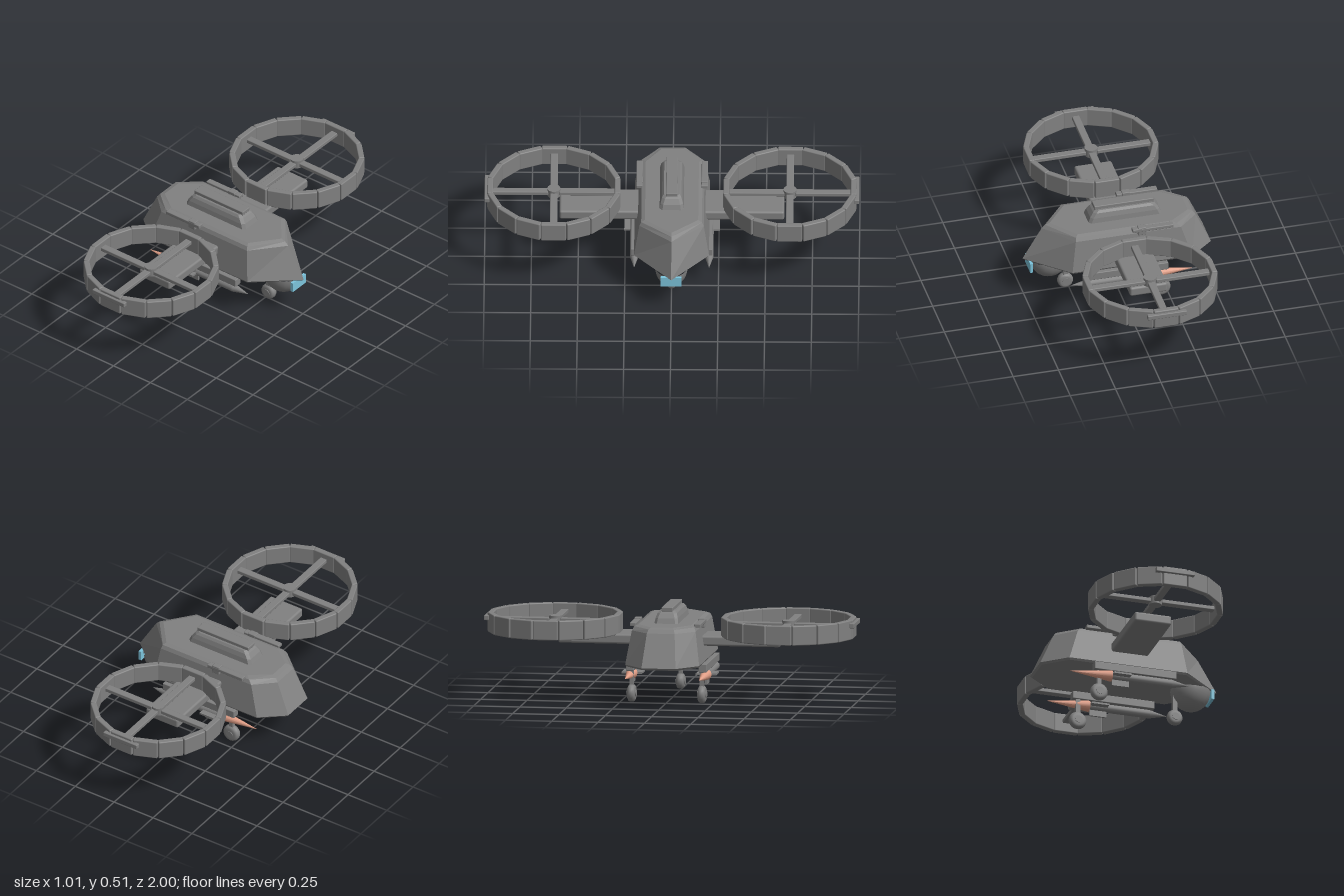
import * as THREE from 'three';
import { RoundedBoxGeometry } from 'three/addons/geometries/RoundedBoxGeometry.js';

const paint = (name, color) => {
  const m = new THREE.MeshStandardMaterial({ color });
  m.name = name;
  return m;
};

export function createModel() {
  const hullGrey = paint('hull grey', 0x808080);
  const salmon = paint('salmon', 0xe3a088);
  const glassBlue = paint('glass blue', 0x7cc4dc);
  const model = new THREE.Group();
  model.name = 'twinRotorCraft';

  const add = (parent, name, geometry, material, x = 0, y = 0, z = 0) => {
    const mesh = new THREE.Mesh(geometry, material);
    mesh.name = name;
    mesh.position.set(x, y, z);
    parent.add(mesh);
    return mesh;
  };
  const rbox = (w, h, d, r = 0.005) => new RoundedBoxGeometry(w, h, d, 2, r);

  // Box given by its limits on x and y, with centre and depth on z
  const slab = (parent, name, x0, x1, y0, y1, z, depth, r) =>
    add(parent, name, rbox(x1 - x0, y1 - y0, depth, r), hullGrey, (x0 + x1) / 2, (y0 + y1) / 2, z);

  // Closed faceted solid through stacked outlines: [y, [[x, z], ...]]
  const loft = (levels) => {
    const pos = [];
    const at = (l, i) => {
      const [y, pts] = levels[l];
      const p = pts[i % pts.length];
      return [p[0], y, p[1]];
    };
    const n = levels[0][1].length;
    const last = levels.length - 1;
    for (let i = 0; i < n; i++) {
      for (let l = 0; l < last; l++) {
        pos.push(...at(l, i), ...at(l + 1, i), ...at(l, i + 1));
        pos.push(...at(l + 1, i), ...at(l + 1, i + 1), ...at(l, i + 1));
      }
      pos.push(0, levels[last][0], 0, ...at(last, i + 1), ...at(last, i));
      pos.push(0, levels[0][0], 0, ...at(0, i), ...at(0, i + 1));
    }
    const g = new THREE.BufferGeometry();
    g.setAttribute('position', new THREE.Float32BufferAttribute(pos, 3));
    g.computeVertexNormals();
    return g;
  };

  // Hull: blunt tail, parallel flanks, pointed nose
  const hullRing = (tail, tailW, rear, front, w, nose) => [
    [nose, 0], [front, w], [rear, w], [tail, tailW],
    [tail, -tailW], [rear, -w], [front, -w],
  ];
  add(model, 'hull', loft([
    [0.217, hullRing(-0.5, 0.088, -0.375, 0.275, 0.193, 0.49)],
    [0.228, hullRing(-0.51, 0.092, -0.38, 0.28, 0.2, 0.505)],
    [0.405, hullRing(-0.43, 0.075, -0.325, 0.255, 0.172, 0.4)],
    [0.425, hullRing(-0.415, 0.068, -0.305, 0.25, 0.162, 0.38)],
    [0.433, hullRing(-0.39, 0.06, -0.28, 0.24, 0.142, 0.355)],
  ]), hullGrey);

  // Raised roof housing and its cap
  const roofRing = (x0, x1, w) => {
    const c = 0.015;
    return [[x1, w - c], [x1 - c, w], [x0 + c, w], [x0, w - c],
      [x0, c - w], [x0 + c, -w], [x1 - c, -w], [x1, c - w]];
  };
  add(model, 'roofHousing', loft([
    [0.43, roofRing(-0.25, 0.155, 0.065)],
    [0.46, roofRing(-0.238, 0.143, 0.06)],
    [0.485, roofRing(-0.22, 0.125, 0.052)],
    [0.497, roofRing(-0.205, 0.11, 0.042)],
  ]), hullGrey);
  slab(model, 'roofCap', -0.212, 0.116, 0.494, 0.516, 0, 0.062, 0.004);

  // Chin turret under the nose, with its window
  const turret = new THREE.SphereGeometry(1, 16, 12, 0, Math.PI * 2, Math.PI / 2, Math.PI / 2);
  turret.scale(0.11, 0.118, 0.09);
  add(model, 'chinTurret', turret, hullGrey, 0.358, 0.221, 0);
  add(model, 'turretWindow', new THREE.BoxGeometry(0.016, 0.056, 0.112), glassBlue, 0.468, 0.194, 0);

  // Wheels with barrel-shaped tyres, hub discs and a strut
  const landingGear = (name, x, z, r, top) => {
    const gear = new THREE.Group();
    gear.name = name;
    gear.position.set(x, 0, z);
    model.add(gear);
    const profile = [[0, -0.02], [0.65 * r, -0.022], [0.9 * r, -0.016], [r, -0.006],
      [r, 0.006], [0.9 * r, 0.016], [0.65 * r, 0.022], [0, 0.02]]
      .map(([a, b]) => new THREE.Vector2(a, b));
    const tyre = new THREE.LatheGeometry(profile, 18);
    tyre.rotateX(Math.PI / 2);
    add(gear, 'tyre', tyre, hullGrey, 0, 0.052, 0);
    const hub = new THREE.CylinderGeometry(0.02, 0.02, 0.05, 12);
    hub.rotateX(Math.PI / 2);
    add(gear, 'wheelHub', hub, hullGrey, 0, 0.052, 0);
    add(gear, 'strut', new THREE.BoxGeometry(0.025, top - 0.06, 0.022), hullGrey, 0, (top + 0.06) / 2, 0);
  };
  landingGear('noseGear', 0.27, 0, 0.043, 0.22);

  // Ducted rotor: ring of sixteen panels, four spokes and a hub
  const rotor = (z) => {
    const group = new THREE.Group();
    group.name = 'rotor';
    group.position.set(-0.035, 0, z);
    model.add(group);
    for (let i = 0; i < 16; i++) {
      const a = (i * Math.PI) / 8;
      const panel = add(group, 'ringPanel', rbox(0.134, 0.106, 0.032, 0.006), hullGrey,
        Math.sin(a) * 0.34, 0.402, Math.cos(a) * 0.34);
      panel.rotation.y = a;
    }
    for (let i = 0; i < 4; i++) {
      const a = (i * Math.PI) / 2;
      const spoke = add(group, 'spoke', rbox(0.04, 0.022, 0.3, 0.004), hullGrey,
        Math.sin(a) * 0.18, 0.412, Math.cos(a) * 0.18);
      spoke.rotation.y = a;
    }
    add(group, 'rotorHub', new THREE.CylinderGeometry(0.035, 0.035, 0.045, 16), hullGrey, 0, 0.413, 0);
  };

  for (const s of [1, -1]) {
    rotor(s * 0.63);
    landingGear('mainGear', -0.213, s * 0.19, 0.048, 0.18);

    // Wing carrying the rotor, outer bumper and roof-edge rail
    slab(model, 'wing', -0.14, 0.066, 0.302, 0.356, s * 0.37, 0.46, 0.012);
    slab(model, 'ringBumper', -0.145, 0.071, 0.415, 0.441, s * 0.987, 0.026, 0.004);
    slab(model, 'roofRail', -0.28, -0.055, 0.42, 0.44, s * 0.174, 0.034, 0.004);
    slab(model, 'railClamp', -0.13, -0.085, 0.4, 0.446, s * 0.172, 0.036, 0.004);

    // Pylon and the missile slung below it
    slab(model, 'pylon', -0.244, 0.214, 0.174, 0.218, s * 0.196, 0.044, 0.004);
    const missile = new THREE.Group();
    missile.name = 'missile';
    missile.position.set(0, 0.15, s * 0.2);
    model.add(missile);
    const alongX = (name, r0, r1, x0, x1, material) => {
      const g = new THREE.CylinderGeometry(r1, r0, x1 - x0, 12);
      g.rotateZ(-Math.PI / 2);
      add(missile, name, g, material, (x0 + x1) / 2, 0, 0);
    };
    alongX('missileBody', 0.023, 0.023, -0.146, 0.19, hullGrey);
    alongX('missileNose', 0.023, 0.001, 0.19, 0.285, hullGrey);
    alongX('missileFlame', 0.001, 0.031, -0.378, -0.146, salmon);
    add(missile, 'verticalFin', new THREE.BoxGeometry(0.096, 0.11, 0.01), hullGrey, -0.097, 0, 0);
    add(missile, 'horizontalFin', new THREE.BoxGeometry(0.096, 0.01, 0.11), hullGrey, -0.097, 0, 0);
  }
  return model;
}
